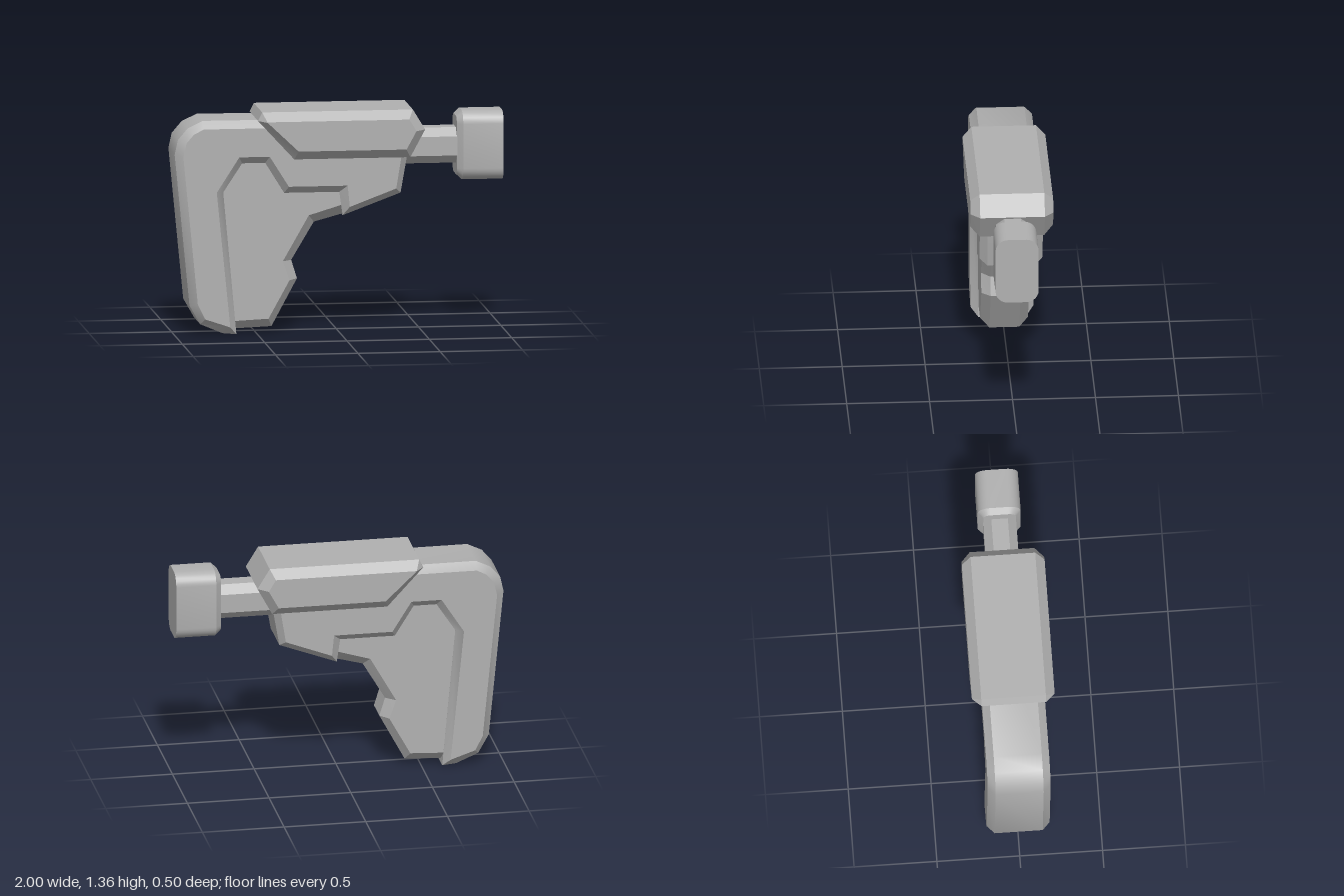
import * as THREE from 'three';
import { toCreasedNormals } from 'three/addons/utils/BufferGeometryUtils.js';

// Closed solid through matching outlines: rings = [[outline, z], ...] with z rising
function loft(rings, crease) {
  const flip = THREE.ShapeUtils.isClockWise(rings[0][0].map(p => new THREE.Vector2(...p)));
  const loops = rings.map(([pts, z]) => ({ z, pts: flip ? [...pts].reverse() : pts }));
  const n = loops[0].pts.length, pos = [], idx = [];
  loops.forEach(({ pts, z }) => pts.forEach(([x, y]) => pos.push(x, y, z)));
  for (let k = 0; k < loops.length - 1; k++) {
    for (let i = 0; i < n; i++) {
      const a = k * n + i, b = k * n + (i + 1) % n;
      idx.push(a, b, b + n, a, b + n, a + n);
    }
  }
  const cap = l => THREE.ShapeUtils.triangulateShape(l.pts.map(p => new THREE.Vector2(...p)), []);
  const last = (loops.length - 1) * n;
  cap(loops[0]).forEach(([a, b, c]) => idx.push(a, c, b));
  cap(loops[loops.length - 1]).forEach(([a, b, c]) => idx.push(last + a, last + b, last + c));
  const g = new THREE.BufferGeometry();
  g.setAttribute('position', new THREE.Float32BufferAttribute(pos, 3));
  g.setIndex(idx);
  return toCreasedNormals(g, crease);
}

// Plate with bevelled sides; each row is [outer x, outer y, face x, face y]
function bevelPlate(rows, rimZ, faceZ, crease = 0.52) {
  const rim = rows.map(r => [r[0], r[1]]), face = rows.map(r => [r[2], r[3]]);
  return loft([[face, -faceZ], [rim, -rimZ], [rim, rimZ], [face, faceZ]], crease);
}

// Rounded rectangle; one step per corner gives a chamfer
function roundRect(hw, hh, r, steps) {
  const pts = [];
  [[1, 1], [-1, 1], [-1, -1], [1, -1]].forEach(([sx, sy], q) => {
    for (let i = 0; i <= steps; i++) {
      const a = (q + i / steps) * Math.PI / 2;
      pts.push([sx * (hw - r) + r * Math.cos(a), sy * (hh - r) + r * Math.sin(a)]);
    }
  });
  return pts;
}

export function createModel() {
  const group = new THREE.Group();
  const grey = new THREE.MeshStandardMaterial({ color: 0xb0b0b0 });
  grey.name = 'grey';
  const add = (name, geometry) => {
    const mesh = new THREE.Mesh(geometry, grey);
    mesh.name = name;
    group.add(mesh);
    return mesh;
  };

  // Hooked outer body with rounded upper back corner
  add('outerFrame', bevelPlate([
    [-0.625, 0, -0.668, 0.048],
    [-0.705, 0.865, -0.75, 0.87],
    [-0.59, 1.04, -0.613, 1.083],
    [-0.45, 1.04, -0.428, 1.083],
    [-0.335, 0.855, -0.312, 0.898],
    [0.0, 0.855, 0.045, 0.898],
    [0.02, 0.712, 0.058, 0.768],
    [0.372, 0.843, 0.34, 0.875],
    [0.41, 1.06, 0.37, 1.06],
    [0.44, 1.3, 0.4, 1.257],
    [-0.83, 1.303, -0.83, 1.257],
    [-0.92, 1.26, -0.89, 1.225],
    [-0.98, 1.19, -0.933, 1.175],
    [-1, 1.1, -0.953, 1.09],
    [-0.91, 0.18, -0.865, 0.19],
    [-0.845, 0.065, -0.82, 0.1],
    [-0.71, 0.008, -0.68, 0.053],
  ], 0.145, 0.19));

  // Narrower recessed panel filling the hook
  add('innerPanel', bevelPlate([
    [-0.64, 0.027, -0.64, 0.08],
    [-0.405, 0.037, -0.43, 0.09],
    [-0.25, 0.325, -0.302, 0.322],
    [-0.285, 0.438, -0.343, 0.438],
    [-0.148, 0.668, -0.185, 0.715],
    [0.03, 0.716, 0.03, 0.78],
    [0.03, 0.9, 0.03, 0.9],
    [-0.32, 0.9, -0.32, 0.9],
    [-0.43, 1.07, -0.43, 1.07],
    [-0.61, 1.07, -0.61, 1.07],
    [-0.73, 0.87, -0.73, 0.87],
  ], 0.09, 0.144, 0.2));

  // Wide bevelled pad on top
  add('cheekPad', bevelPlate([
    [-0.475, 1.355, -0.45, 1.302],
    [-0.5, 1.303, -0.448, 1.298],
    [-0.28, 1.065, -0.26, 1.12],
    [0.425, 1.065, 0.395, 1.12],
    [0.515, 1.232, 0.455, 1.23],
    [0.44, 1.355, 0.412, 1.302],
  ], 0.195, 0.25, 0.3));

  // Chamfered tube and rounded end block, both running along x
  const tubeShape = roundRect(0.1, 0.108, 0.05, 1);
  const tube = add('tube', loft([[tubeShape, 0.3], [tubeShape, 0.74]], 0.3));
  const full = roundRect(0.13, 0.21, 0.075, 6);
  const inset = roundRect(0.098, 0.178, 0.043, 6);
  const block = add('endBlock', loft([[inset, 0.72], [full, 0.755], [full, 1]], 0.52));
  [tube, block].forEach(m => {
    m.rotation.y = Math.PI / 2;
    m.position.y = 1.113;
  });

  return group;
}
